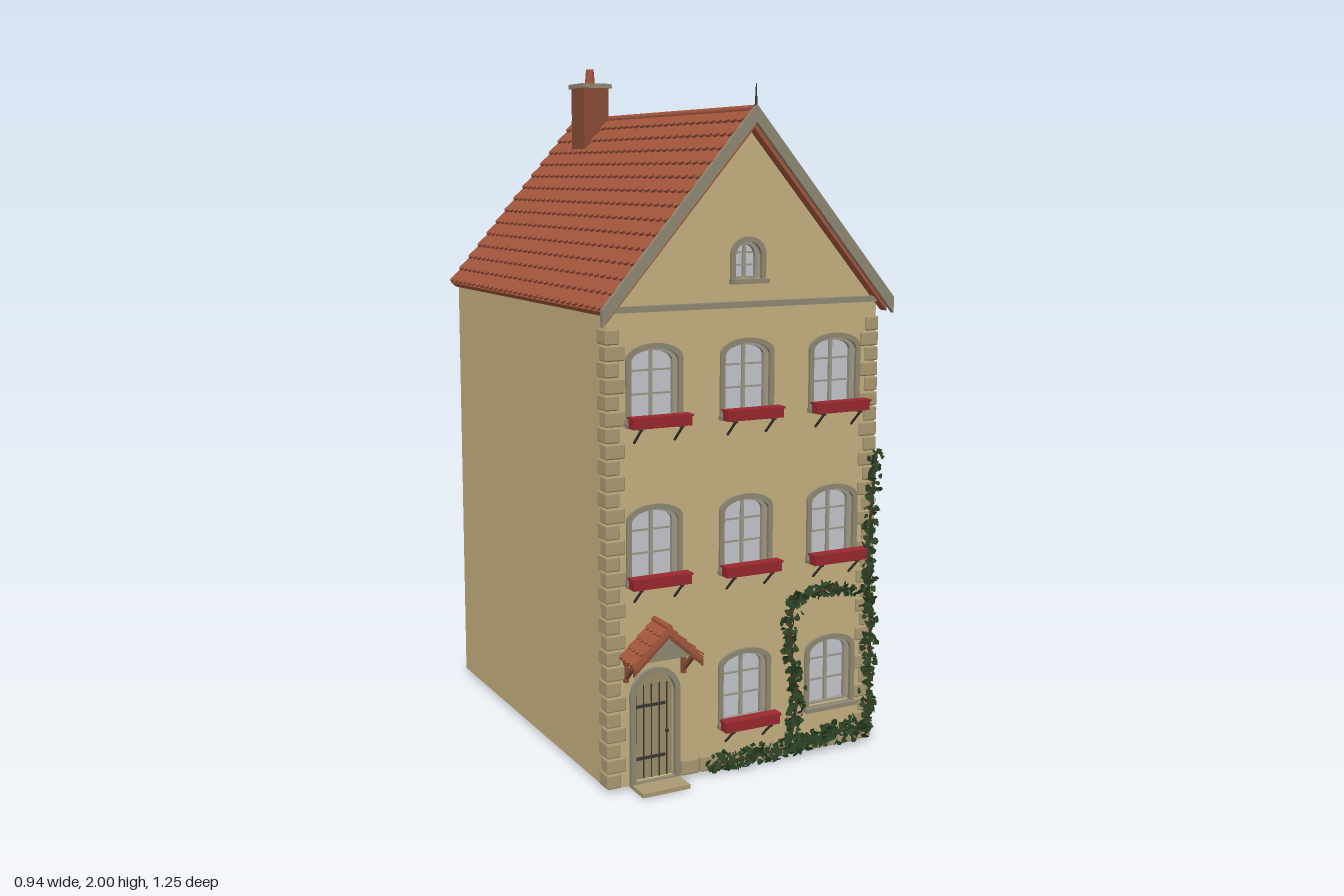
import * as THREE from 'three';
import { mergeGeometries } from 'three/addons/utils/BufferGeometryUtils.js';
import { RoundedBoxGeometry } from 'three/addons/geometries/RoundedBoxGeometry.js';

const C = { wall: 0xc6b17f, trim: 0x8f8873, stone: 0xab9a72, tile: 0xa4563c, brick: 0x8a4d38, red: 0x98282f,
  glass: 0xc3c6cc, frame: 0x9c988a, door: 0x9b8c68, iron: 0x3a3833, leaf: 0x2b4224, stem: 0x4a3a28, inner: 0x7d6152 };
const mats = {};
const mat = (k) => (mats[k] ??= new THREE.MeshStandardMaterial({ color: C[k], side: k === 'leaf' ? THREE.DoubleSide : THREE.FrontSide }));

function add(parent, name, geo, color, x = 0, y = 0, z = 0) {
  const m = new THREE.Mesh(geo, mat(color));
  m.name = name;
  m.position.set(x, y, z);
  parent.add(m);
  return m;
}
function group(parent, name, x = 0, y = 0, z = 0) {
  const g = new THREE.Group();
  g.name = name;
  g.position.set(x, y, z);
  parent.add(g);
  return g;
}
const box = (w, h, d) => new THREE.BoxGeometry(w, h, d);
const extrude = (shape, depth) => new THREE.ExtrudeGeometry(shape, { depth, bevelEnabled: false, curveSegments: 10 });
const poly = (pts) => new THREE.Shape(pts.map((p) => new THREE.Vector2(...p)));

// Opening with a curved head, base centre at (x, y), rise r
function arch(x, y, w, h, r) {
  const s = new THREE.Shape();
  s.moveTo(x - w / 2, y);
  s.lineTo(x + w / 2, y);
  s.lineTo(x + w / 2, y + h - r);
  s.absellipse(x, y + h - r, w / 2, r, 0, Math.PI, false);
  s.closePath();
  return s;
}
function ring(w, h, r, t, depth) {
  const s = arch(0, 0, w, h, r);
  s.holes.push(arch(0, t * 0.6, w - 2 * t, h - 1.6 * t, r * 0.85));
  return extrude(s, depth);
}
// Inverted V strip of vertical thickness t
const chevron = (hw, y0, y1, t, depth) =>
  extrude(poly([[-hw, y0], [-hw, y0 - t], [0, y1 - t], [hw, y0 - t], [hw, y0], [0, y1]]), depth);

// Window facing +z with stone surround, bars and sill or flower box
function addWindow(parent, x, y, w, h, r, base) {
  const g = group(parent, 'window', x, y, 0);
  add(g, 'surround', ring(w + 0.024, h + 0.018, r + 0.006, 0.014, 0.01), 'trim', 0, -0.008, -0.002);
  add(g, 'pane', extrude(arch(0, 0, w, h, r), 0.004), 'glass', 0, 0, -0.028);
  add(g, 'casement', ring(w, h, r, 0.011, 0.012), 'frame', 0, 0, -0.024);
  add(g, 'mullion', box(0.009, h, 0.008), 'frame', 0, h / 2, -0.02);
  for (const f of [0.36, 0.68]) add(g, 'glazingBar', box(w, 0.005, 0.006), 'frame', 0, h * f, -0.021);
  add(g, 'sill', box(w + 0.03, 0.012, 0.03), 'trim', 0, -0.006, 0.008);
  if (!base) return;
  add(g, 'flowerBox', box(w + 0.03, 0.028, 0.03), 'red', 0, 0.004, 0.04);
  add(g, 'flowerBoxRim', box(w + 0.036, 0.006, 0.036), 'red', 0, 0.018, 0.04);
  for (const s of [-1, 1]) {
    add(g, 'bracketArm', box(0.005, 0.005, 0.055), 'iron', s * w * 0.42, -0.013, 0.027);
    add(g, 'bracketStay', box(0.005, 0.005, 0.062), 'iron', s * w * 0.42, -0.034, 0.025).rotation.x = -0.75;
  }
}

// One roof slope: deck with overlapping courses of scalloped tiles
function roofSlope(parent, side, hw, y0, y1, zc, len, rows, n, th) {
  const L = Math.hypot(hw, y1 - y0), c = hw / L, s = (y1 - y0) / L, rowH = L / rows, tw = len / n;
  const g = group(parent, 'roofSlope');
  const m = new THREE.Matrix4().makeBasis(new THREE.Vector3(0, 0, -side), new THREE.Vector3(-side * c, s, 0), new THREE.Vector3(side * s, c, 0));
  g.quaternion.setFromRotationMatrix(m);
  g.position.set(side * hw, y0, zc);
  add(g, 'roofDeck', box(len, L, th), 'tile', 0, L / 2, -th / 2);
  const course = new THREE.Shape();
  course.moveTo(len / 2, rowH * 1.15);
  course.lineTo(-len / 2, rowH * 1.15);
  for (let i = 0; i < n; i++)
    for (const [u, v] of [[0.03, 0.008], [0.25, 0.001], [0.5, -0.002], [0.75, 0.001], [0.97, 0.008]])
      course.lineTo(-len / 2 + (i + u) * tw, v * rowH / 0.05);
  course.lineTo(len / 2, 0.008);
  const geo = extrude(course, th * 0.35);
  for (let i = 0; i < rows; i++) {
    const t = add(g, 'tileCourse', geo, 'tile', 0, i * rowH, th * 0.3);
    t.rotation.x = -Math.atan((th * 0.4) / rowH);
    if (i === rows - 1) t.scale.y = 0.87;
  }
}

let seed = 7;
const rnd = () => (seed = (seed * 16807) % 2147483647) / 2147483647;

// Climbing stem with scattered leaves; spread is [x, y, z] jitter
function ivy(parent, pts, count, spread) {
  const curve = new THREE.CatmullRomCurve3(pts.map((p) => new THREE.Vector3(...p)));
  const g = group(parent, 'ivy');
  add(g, 'ivyStem', new THREE.TubeGeometry(curve, 24, 0.004, 5), 'stem');
  const leaf = new THREE.ShapeGeometry(poly([[0, -0.011], [0.01, -0.006], [0.007, 0.003], [0, 0.013], [-0.007, 0.003], [-0.01, -0.006]]));
  const leaves = [];
  for (let i = 0; i < count; i++) {
    const p = curve.getPoint(rnd()), j = () => rnd() + rnd() - 1;
    const sc = 0.65 + rnd() * 0.5;
    const o = new THREE.Object3D();
    o.position.set(p.x + j() * spread[0], Math.max(0.012, p.y + j() * spread[1]), p.z + j() * spread[2]);
    o.rotation.set(j() * 1.1, (spread[2] > spread[0] ? 1.57 : 0) + j() * 1.1, rnd() * 6.28);
    o.scale.setScalar(sc);
    o.updateMatrix();
    leaves.push(leaf.clone().applyMatrix4(o.matrix));
  }
  add(g, 'ivyLeaves', mergeGeometries(leaves), 'leaf');
}

export function createModel() {
  const root = new THREE.Group();
  root.name = 'townHouse';
  const house = group(root, 'house', -0.015, 0, 0);
  const HW = 0.425, Y0 = 0.01, EAVE = 1.315, PEAK = 1.805, ZF = 0.53, ZB = -0.61, T = 0.035;
  const floors = [0.14, 0.585, 1.02], gable = [[-HW, Y0], [HW, Y0], [HW, EAVE], [0, PEAK], [-HW, EAVE]];

  // Front wall with openings
  const front = group(house, 'front', 0, 0, ZF);
  const frontShape = poly(gable);
  const W = 0.145, H = 0.2, R = 0.035;
  floors.forEach((y, f) => [-0.285, 0, 0.285].forEach((x, i) => {
    if (f === 0 && i === 0) return;
    frontShape.holes.push(arch(x, y, W, H, R));
    addWindow(front, x, y, W, H, R, !(f === 0 && i === 2));
  }));
  frontShape.holes.push(arch(0, 1.39, 0.085, 0.105, 0.04), arch(-0.285, 0.015, 0.125, 0.315, 0.062));
  addWindow(front, 0, 1.39, 0.085, 0.105, 0.04, false);
  add(front, 'frontWall', extrude(frontShape, T), 'wall', 0, 0, -T);
  add(front, 'gableLedge', box(0.83, 0.016, 0.024), 'trim', 0, 1.322, 0.008);

  // Side wall with windows on the left, plain walls elsewhere
  const side = group(house, 'leftSide', HW, 0, 0);
  side.rotation.y = Math.PI / 2;
  const sideShape = poly([[-ZF + T, Y0], [-ZB - T, Y0], [-ZB - T, EAVE], [-ZF + T, EAVE]]);
  floors.forEach((y, f) => [0.28, -0.105].forEach((z, i) => {
    sideShape.holes.push(arch(-z, y, 0.12, H - 0.005, R));
    addWindow(side, -z, y, 0.12, H - 0.005, R, !(f === 0 && i === 1));
  }));
  add(side, 'leftWall', extrude(sideShape, T), 'wall', 0, 0, -T);
  add(house, 'rightWall', box(T, EAVE - Y0, ZF - ZB - 2 * T), 'wall', -HW + T / 2, (EAVE + Y0) / 2, (ZF + ZB) / 2);
  add(house, 'backWall', extrude(poly(gable), T), 'wall', 0, 0, ZB);

  // Interior seen through the open base
  add(house, 'groundFloor', box(0.78, 0.015, 0.3), 'inner', 0, 0.025, 0.345);
  add(house, 'partition', box(0.78, 1.28, 0.015), 'inner', 0, 0.655, 0.2);
  add(house, 'stairBlock', box(0.16, 0.1, 0.2), 'inner', 0.2, 0.1, 0.1);
  add(house, 'ceiling', box(0.78, 0.015, 1.07), 'inner', 0, 1.3, -0.04);

  // Corner stones
  for (const s of [-1, 1])
    for (let i = 0; i < 29; i++) {
      const a = i % 2 ? 0.058 : 0.042, b = i % 2 ? 0.042 : 0.058;
      add(house, 'cornerStone', new RoundedBoxGeometry(a, 0.041, b, 1, 0.005), 'stone',
        s * (HW + 0.006 - a / 2), 0.033 + i * 0.0435, ZF + 0.008 - b / 2);
    }
  // Plinth stones right of the door
  for (let i = 0; i < 10; i++)
    add(house, 'plinthStone', new RoundedBoxGeometry(0.055, 0.045, 0.02, 1, 0.005), 'stone', -0.175 + i * 0.0575, 0.034, ZF + 0.002);

  // Main roof
  for (const s of [-1, 1]) roofSlope(house, s, 0.448, 1.32, 1.842, -0.025, 1.18, 14, 30, 0.02);
  add(house, 'ridgeCap', new THREE.CylinderGeometry(0.012, 0.012, 1.19, 10), 'tile', 0, 1.842, -0.03).rotation.x = Math.PI / 2;
  add(house, 'bargeBoard', chevron(0.455, 1.328, 1.855, 0.046, 0.014), 'trim', 0, 0, 0.561);
  add(house, 'innerBarge', chevron(0.44, 1.31, 1.815, 0.022, 0.032), 'tile', 0, 0, ZF);
  add(house, 'finial', new THREE.CylinderGeometry(0.001, 0.004, 0.06, 6), 'iron', 0, 1.88, 0.568);

  // Chimney
  const chimney = group(house, 'chimney', -0.05, 0, -0.388);
  add(chimney, 'stack', box(0.085, 0.25, 0.098), 'brick', 0, 1.815, 0);
  add(chimney, 'capStone', box(0.1, 0.014, 0.115), 'trim', 0, 1.947, 0);
  add(chimney, 'pot', new THREE.CylinderGeometry(0.012, 0.016, 0.046, 12), 'tile', 0, 1.977, 0);

  // Door with planks, straps and stone surround
  const door = group(front, 'door', -0.285, 0.015, 0);
  add(door, 'doorLeaf', extrude(arch(0, 0, 0.125, 0.315, 0.062), 0.012), 'door', 0, 0, -0.03);
  add(door, 'doorSurround', ring(0.152, 0.33, 0.074, 0.015, 0.014), 'trim', 0, -0.006, -0.002);
  for (let i = -2; i <= 2; i++) add(door, 'plankJoint', box(0.003, 0.27, 0.003), 'iron', i * 0.024, 0.135, -0.0175);
  for (const y of [0.06, 0.21]) add(door, 'strap', box(0.1, 0.008, 0.005), 'iron', -0.008, y, -0.016);
  add(door, 'knob', new THREE.SphereGeometry(0.006, 8, 6), 'iron', 0.045, 0.13, -0.011);
  add(front, 'doorStep', box(0.145, 0.012, 0.085), 'stone', -0.285, 0.009, 0.035);

  // Tiled porch over the door
  const porch = group(front, 'porch', -0.285, 0, 0);
  for (const s of [-1, 1]) {
    roofSlope(porch, s, 0.106, 0.378, 0.472, 0.046, 0.09, 4, 4, 0.012);
    add(porch, 'porchPost', box(0.012, 0.07, 0.012), 'brick', s * 0.088, 0.345, 0.006);
    add(porch, 'porchBrace', box(0.011, 0.011, 0.085), 'brick', s * 0.088, 0.35, 0.035).rotation.x = -0.75;
    add(porch, 'porchBeam', box(0.012, 0.012, 0.08), 'brick', s * 0.088, 0.376, 0.04);
  }
  add(porch, 'porchBarge', chevron(0.104, 0.373, 0.466, 0.022, 0.008), 'brick', 0, 0, 0.082);
  add(porch, 'porchGable', extrude(poly([[-0.085, 0.378], [0.085, 0.378], [0, 0.452]]), 0.01), 'trim', 0, 0, 0.06);
  add(porch, 'porchRidge', new THREE.CylinderGeometry(0.009, 0.009, 0.094, 8), 'tile', 0, 0.474, 0.047).rotation.x = Math.PI / 2;

  // Ivy on the front, round the corner and on the side
  const zf = 0.548, xs = 0.42;
  ivy(root, [[-0.13, 0.03, zf], [0.1, 0.035, zf], [0.25, 0.05, zf], [0.4, 0.06, zf]], 380, [0.02, 0.035, 0.014]);
  ivy(root, [[0.13, 0.05, zf], [0.15, 0.18, zf], [0.13, 0.32, zf], [0.14, 0.46, zf], [0.22, 0.49, zf], [0.35, 0.48, zf]], 280, [0.035, 0.025, 0.01]);
  ivy(root, [[0.4, 0.05, zf], [0.4, 0.35, zf], [0.39, 0.6, zf], [0.41, 0.88, zf]], 280, [0.027, 0.02, 0.01]);
  ivy(root, [[xs, 0.08, 0.5], [xs, 0.35, 0.48], [xs, 0.6, 0.47], [xs, 0.83, 0.51]], 320, [0.01, 0.02, 0.05]);
  ivy(root, [[xs, 0.77, 0.5], [xs, 0.78, 0.4], [xs, 0.55, 0.385], [xs, 0.35, 0.4], [xs, 0.1, 0.39]], 280, [0.01, 0.03, 0.028]);
  return root;
}
